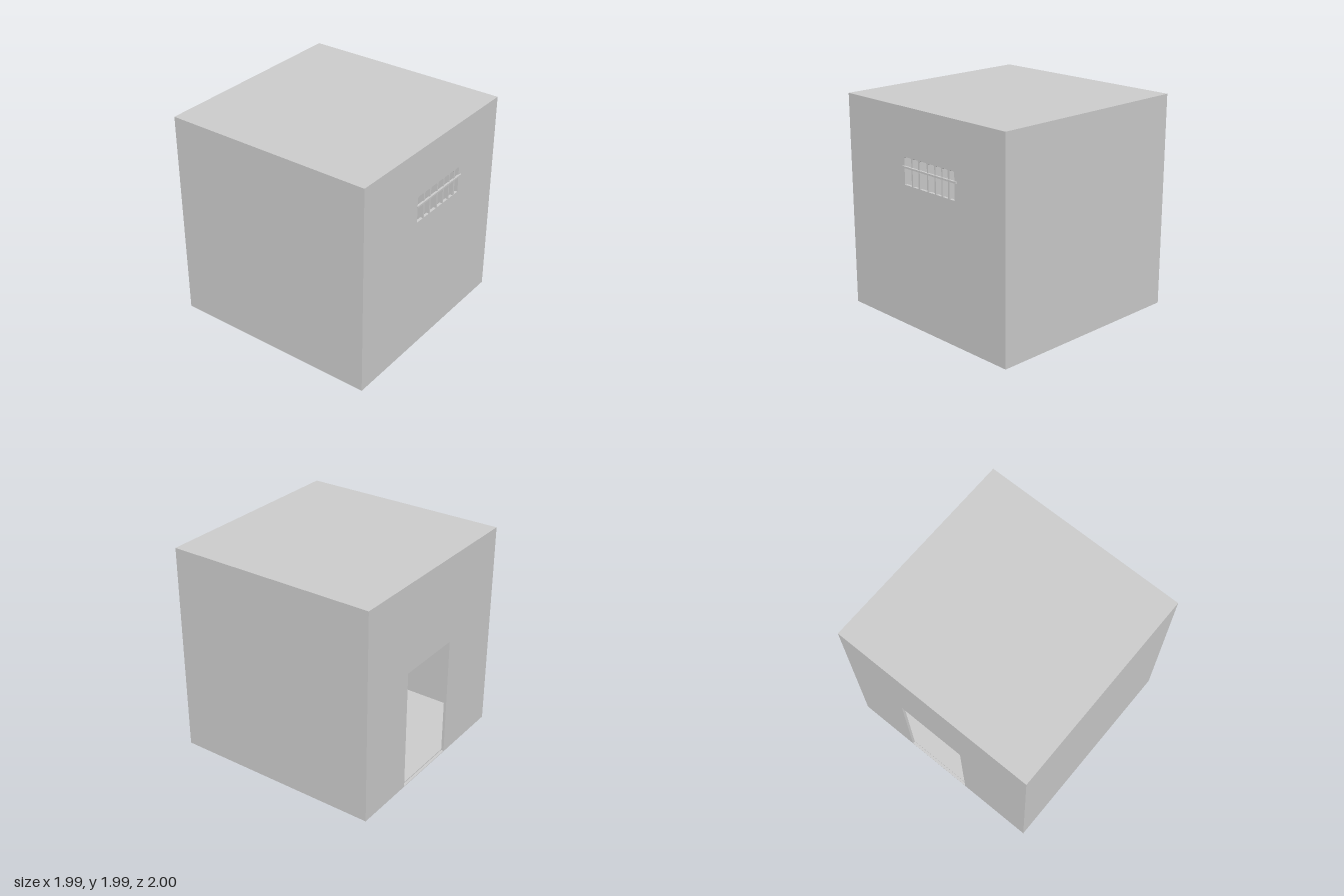
import * as THREE from 'three';

const SIZE = 1.99, HALF = SIZE / 2, WALL = 0.025;
const BACK = -1, FRONT = 0.988;

// Closed outline from [x, y] pairs
const outline = (Type, pts) => new Type(pts.map(([x, y]) => new THREE.Vector2(x, y)));
const rect = (x0, y0, x1, y1) => [[x0, y0], [x1, y0], [x1, y1], [x0, y1]];

export function createModel() {
  const group = new THREE.Group();
  const material = new THREE.MeshStandardMaterial({ color: 0xcccccc, flatShading: true });

  const add = (name, geometry, x = 0, y = 0, z = 0) => {
    const mesh = new THREE.Mesh(geometry, material);
    mesh.name = name;
    mesh.position.set(x, y, z);
    group.add(mesh);
  };

  // Square panel with holes, extruded along z
  const panel = (holes, depth) => {
    const shape = outline(THREE.Shape, rect(-HALF, 0, HALF, SIZE));
    shape.holes = holes.map((pts) => outline(THREE.Path, pts));
    return new THREE.ExtrudeGeometry(shape, { depth, bevelEnabled: false });
  };

  // Floor, side walls and ceiling as one hollow sleeve
  const inner = rect(-HALF + WALL, 0.015, HALF - WALL, SIZE - WALL);
  add('roomShell', panel([inner], FRONT - BACK - 2 * WALL), 0, 0, BACK + WALL);

  // Back wall with the doorway
  add('backWall', panel([rect(-0.27, 0.005, 0.4, 1.16)], WALL), 0, 0, BACK);

  // Front wall with a row of window slots, top corners clipped
  const slots = [
    [-0.237, -0.146], [-0.13, -0.056], [-0.037, 0.056], [0.072, 0.152],
    [0.168, 0.24], [0.253, 0.32], [0.34, 0.4],
  ];
  const c = 0.01, bottom = 1.305, top = 1.553;
  const slotHoles = slots.map(([a, b]) => [
    [a, bottom], [b, bottom], [b, top - c], [b - c, top], [a + c, top], [a, top - c],
  ]);
  add('frontWall', panel(slotHoles, WALL), 0, 0, FRONT - WALL);

  // Horizontal bar across the window slots
  add('windowBar', new THREE.BoxGeometry(0.68, 0.016, 0.02), 0.09, 1.465, 0.99);

  return group;
}
